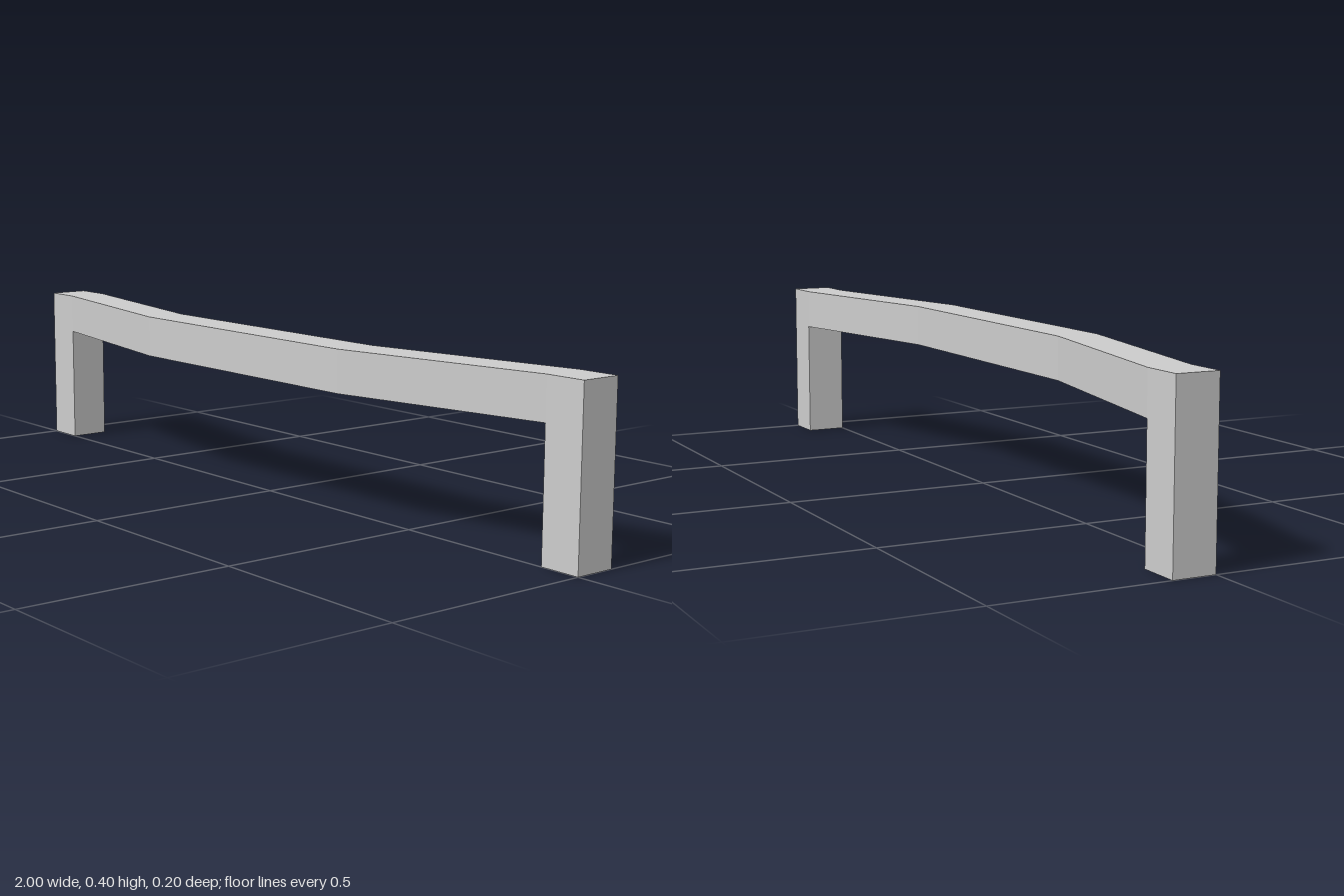
import * as THREE from 'three';

const T = 0.1;          // square section of the bar and legs
const HEIGHT = 0.4;     // overall height

export function createModel() {
  const group = new THREE.Group();
  group.name = 'barHandle';
  const material = new THREE.MeshStandardMaterial({ color: 0xcccccc, flatShading: true });

  // Grip: plan outline bowed towards the front, extruded upwards
  const backEdge = [[-1, -T], [-0.9, -T], [-0.37, 0], [0.37, 0], [0.9, -T], [1, -T]];
  const frontEdge = backEdge.map(([x, z]) => [x, z + T]).reverse();
  const outline = [...backEdge, ...frontEdge].map(([x, z]) => new THREE.Vector2(x, -z));
  const gripGeometry = new THREE.ExtrudeGeometry(new THREE.Shape(outline), { depth: T, bevelEnabled: false });
  gripGeometry.rotateX(-Math.PI / 2);
  const grip = new THREE.Mesh(gripGeometry, material);
  grip.name = 'grip';
  grip.position.y = HEIGHT - T;
  group.add(grip);

  // Legs: one square post under each end of the grip
  const legHeight = HEIGHT - T;
  const legGeometry = new THREE.BoxGeometry(T, legHeight, T);
  for (const [name, side] of [['leftLeg', 1], ['rightLeg', -1]]) {
    const leg = new THREE.Mesh(legGeometry, material);
    leg.name = name;
    leg.position.set(side * (1 - T / 2), legHeight / 2, -T / 2);
    group.add(leg);
  }
  return group;
}
